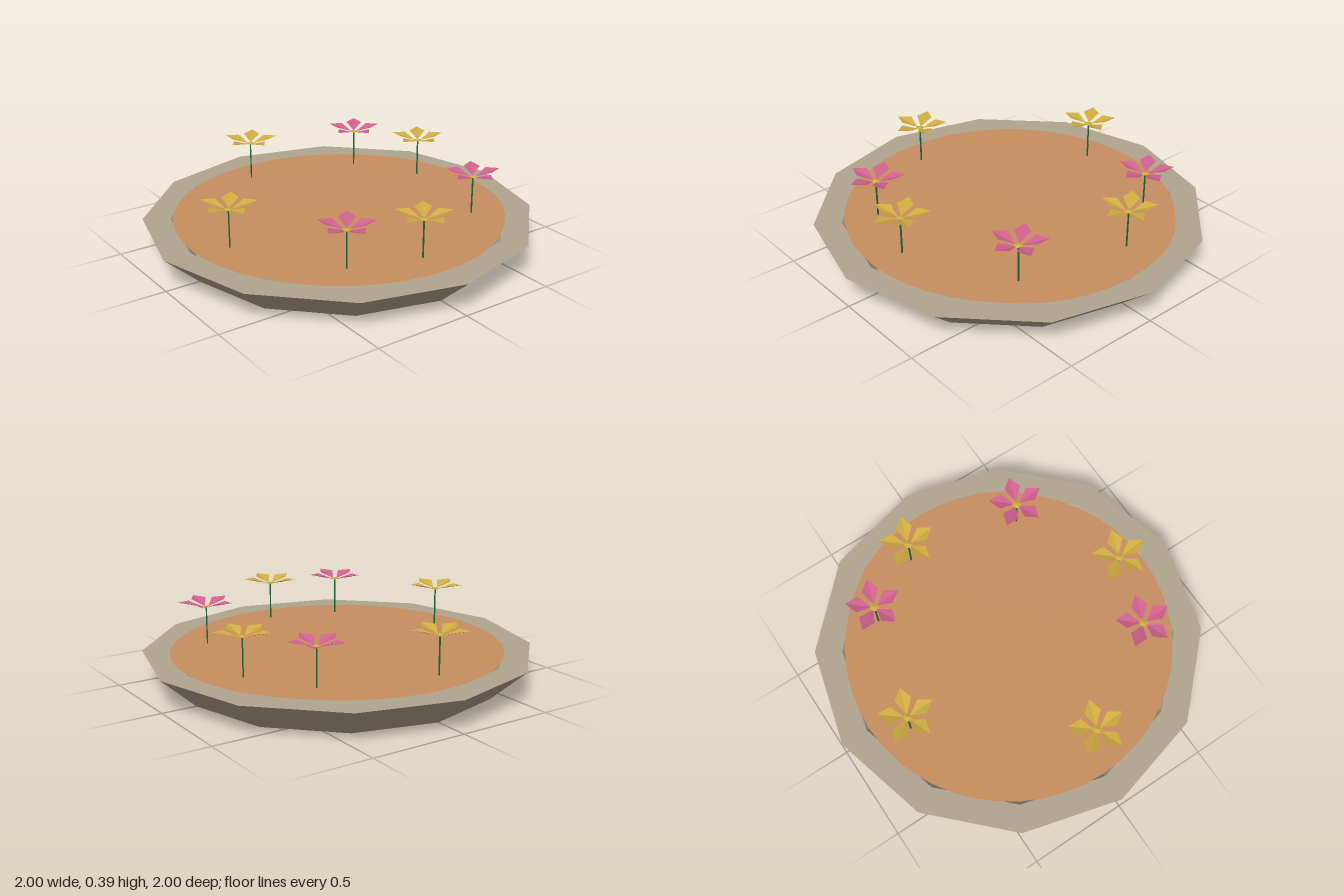
import * as THREE from 'three';

const mat = (name, color, extra = {}) => {
  const m = new THREE.MeshStandardMaterial({ color, flatShading: true, ...extra });
  m.name = name;
  return m;
};

export function createModel() {
  const model = new THREE.Group();
  model.name = 'flowerPlanter';
  const stone = mat('stone', 0xb0a58f);
  const earth = mat('earth', 0xc88e60);
  const pink = mat('pinkPetal', 0xd0608e, { side: THREE.DoubleSide });
  const yellow = mat('yellowPetal', 0xcfac40, { side: THREE.DoubleSide });
  const green = mat('stemGreen', 0x1f6b40);

  const add = (parent, name, geometry, material) => {
    const mesh = new THREE.Mesh(geometry, material);
    mesh.name = name;
    parent.add(mesh);
    return mesh;
  };

  // Twelve-sided dish with a flat rim and a shallow hollow
  const profile = [[0, 0], [0.82, 0], [1, 0.16], [0.86, 0.16], [0.81, 0.1], [0, 0.1]]
    .map(([r, y]) => new THREE.Vector2(r, y));
  add(model, 'dish', new THREE.LatheGeometry(profile, 12), stone);

  // Gently uneven soil, slightly fuller towards the back
  const soil = new THREE.RingGeometry(0.001, 1, 48, 4);
  soil.rotateX(-Math.PI / 2);
  const p = soil.attributes.position;
  for (let i = 0; i < p.count; i++) {
    const x = p.getX(i), z = p.getZ(i);
    const back = Math.max(0, -z - 0.75) / 0.25;
    const r = 0.845 + 0.015 * Math.min(1, back * 2);
    const wave = 0.002 * Math.sin(3 * x + 1) * Math.cos(2.5 * z);
    p.setXYZ(i, x * r, 0.168 + wave - 0.003 * (x * x + z * z), z * r);
  }
  soil.computeVertexNormals();
  add(model, 'soil', soil, earth);

  // Creased kite petal pointing along +x: base, two raised sides, tip
  const petal = new THREE.BufferGeometry();
  petal.setAttribute('position', new THREE.Float32BufferAttribute([
    0.015, 0, 0, 0.085, 0.027, 0.042, 0.145, 0.03, 0,
    0.015, 0, 0, 0.145, 0.03, 0, 0.085, 0.027, -0.042,
  ], 3));
  petal.computeVertexNormals();

  const centre = new THREE.ConeGeometry(0.024, 0.008, 6);
  const stem = new THREE.BoxGeometry(0.009, 0.2, 0.003);

  const flowers = [
    [0.41, -0.54, pink], [-0.505, -0.46, pink], [0.57, 0.36, pink],
    [-0.18, -0.66, yellow], [0.68, 0, yellow], [-0.67, 0.12, yellow], [0.06, 0.68, yellow],
  ];
  for (const [x, z, colour] of flowers) {
    const flower = new THREE.Group();
    flower.name = 'flower';
    flower.position.set(x, 0.364, z);
    add(flower, 'stem', stem, green).position.y = -0.101;
    add(flower, 'flowerCentre', centre, yellow).position.y = 0.004;
    for (let i = 0; i < 5; i++) {
      add(flower, 'petal', petal, colour).rotation.y = i * Math.PI * 2 / 5;
    }
    model.add(flower);
  }
  return model;
}
